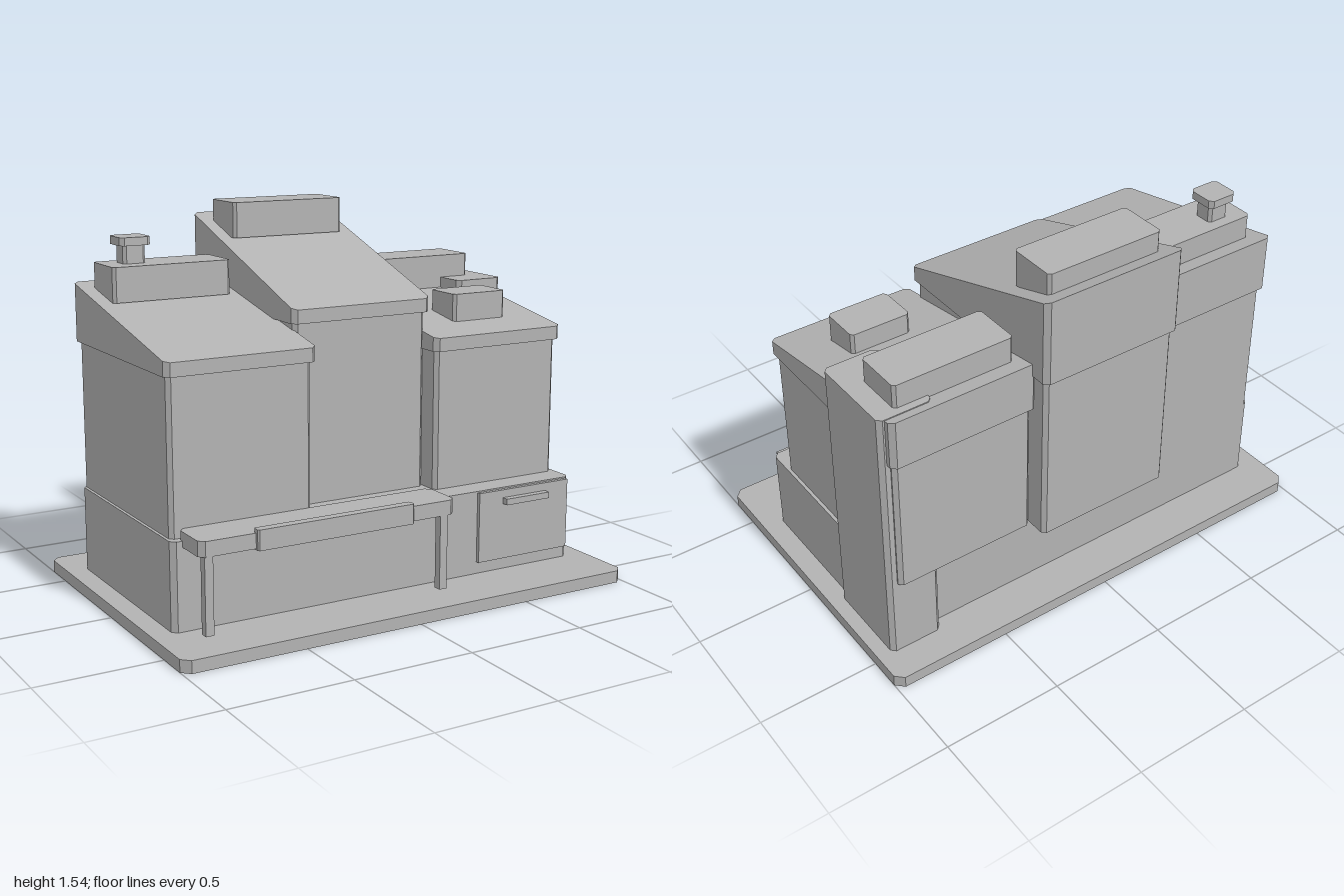
import * as THREE from 'three';

const stone = new THREE.MeshStandardMaterial({ color: 0xb2b2b2 });
stone.name = 'plain grey';

// Upright block with chamfered plan corners; topBack gives a top sloping from front to back
function block(name, [x0, x1], [y0, y1], [z0, z1], c = 0.012, topBack = y1) {
  const a = -z1, b = -z0;
  const plan = new THREE.Shape([
    [x0 + c, a], [x1 - c, a], [x1, a + c], [x1, b - c],
    [x1 - c, b], [x0 + c, b], [x0, b - c], [x0, a + c],
  ].map(([x, y]) => new THREE.Vector2(x, y)));
  const geo = new THREE.ExtrudeGeometry(plan, { depth: y1 - y0, bevelEnabled: false });
  geo.rotateX(-Math.PI / 2).translate(0, y0, 0);
  const p = geo.attributes.position;
  for (let i = 0; i < p.count; i++) {
    if (p.getY(i) > (y0 + y1) / 2) {
      p.setY(i, y1 + (topBack - y1) * (z1 - p.getZ(i)) / (z1 - z0));
    }
  }
  geo.computeVertexNormals();
  const mesh = new THREE.Mesh(geo, stone);
  mesh.name = name;
  return mesh;
}

// Thin box without chamfers
function bar(name, [x0, x1], [y0, y1], [z0, z1]) {
  const mesh = new THREE.Mesh(new THREE.BoxGeometry(x1 - x0, y1 - y0, z1 - z0), stone);
  mesh.position.set((x0 + x1) / 2, (y0 + y1) / 2, (z0 + z1) / 2);
  mesh.name = name;
  return mesh;
}

// Upper house: walls with an overhanging single-pitch roof
function house(name, x, z, eaves, front, back) {
  const g = new THREE.Group();
  g.name = name;
  const inset = ([a, b], d) => [a + d, b - d];
  g.add(
    block('walls', inset(x, 0.014), [0.395, eaves], inset(z, 0.019), 0.016),
    block('slopedRoof', x, [eaves, front], z, 0.02, back),
  );
  return g;
}

export function createModel() {
  const model = new THREE.Group();
  model.name = 'terraceOfHouses';

  // Ground slab, shop floor and corner tower
  model.add(
    block('baseSlab', [-1, 1], [0, 0.05], [-0.667, 0.667], 0.032),
    block('groundFloor', [-0.917, 0.915], [0.05, 0.4], [-0.482, 0.4], 0.02),
    block('cornerTower', [0.715, 0.94], [0.05, 1.177], [-0.532, -0.152], 0.018),
  );

  // Three houses
  model.add(
    house('rightHouse', [-0.919, -0.296], [-0.503, 0.384], 1.007, 1.062, 1.245),
    house('middleHouse', [-0.316, 0.312], [-0.652, 0.234], 1.127, 1.182, 1.482),
    house('leftHouse', [0.288, 0.915], [-0.572, 0.312], 0.975, 1.03, 1.18),
  );

  // Rooftop blocks and chimney
  model.add(
    block('rightRoofBlock', [-0.86, -0.355], [1.19, 1.33], [-0.43, -0.22]),
    block('chimneyStem', [-0.782, -0.688], [1.33, 1.405], [-0.383, -0.297]),
    block('chimneyCap', [-0.802, -0.672], [1.403, 1.436], [-0.402, -0.277], 0.016),
    block('middleRoofBlock', [-0.26, 0.25], [1.396, 1.542], [-0.58, -0.37]),
    block('leftRoofBlock', [0.345, 0.855], [1.13, 1.274], [-0.5, -0.29]),
    block('leftRoofVent', [0.488, 0.744], [1.058, 1.172], [-0.028, 0.147]),
  );

  // Porch canopy with sign board and posts
  model.add(
    block('canopy', [-0.873, 0.23], [0.376, 0.436], [0.362, 0.55], 0.022),
    block('signBoard', [-0.648, 0.028], [0.371, 0.451], [0.53, 0.568], 0.006),
  );
  for (const x of [-0.838, 0.178]) {
    model.add(bar('canopyPost', [x - 0.017, x + 0.017], [0.075, 0.378], [0.514, 0.548]));
  }

  // Shop window with a small ledge
  model.add(
    bar('shopWindow', [0.443, 0.893], [0.1, 0.394], [0.39, 0.416]),
    bar('windowLedge', [0.56, 0.775], [0.335, 0.361], [0.412, 0.444]),
  );
  return model;
}
